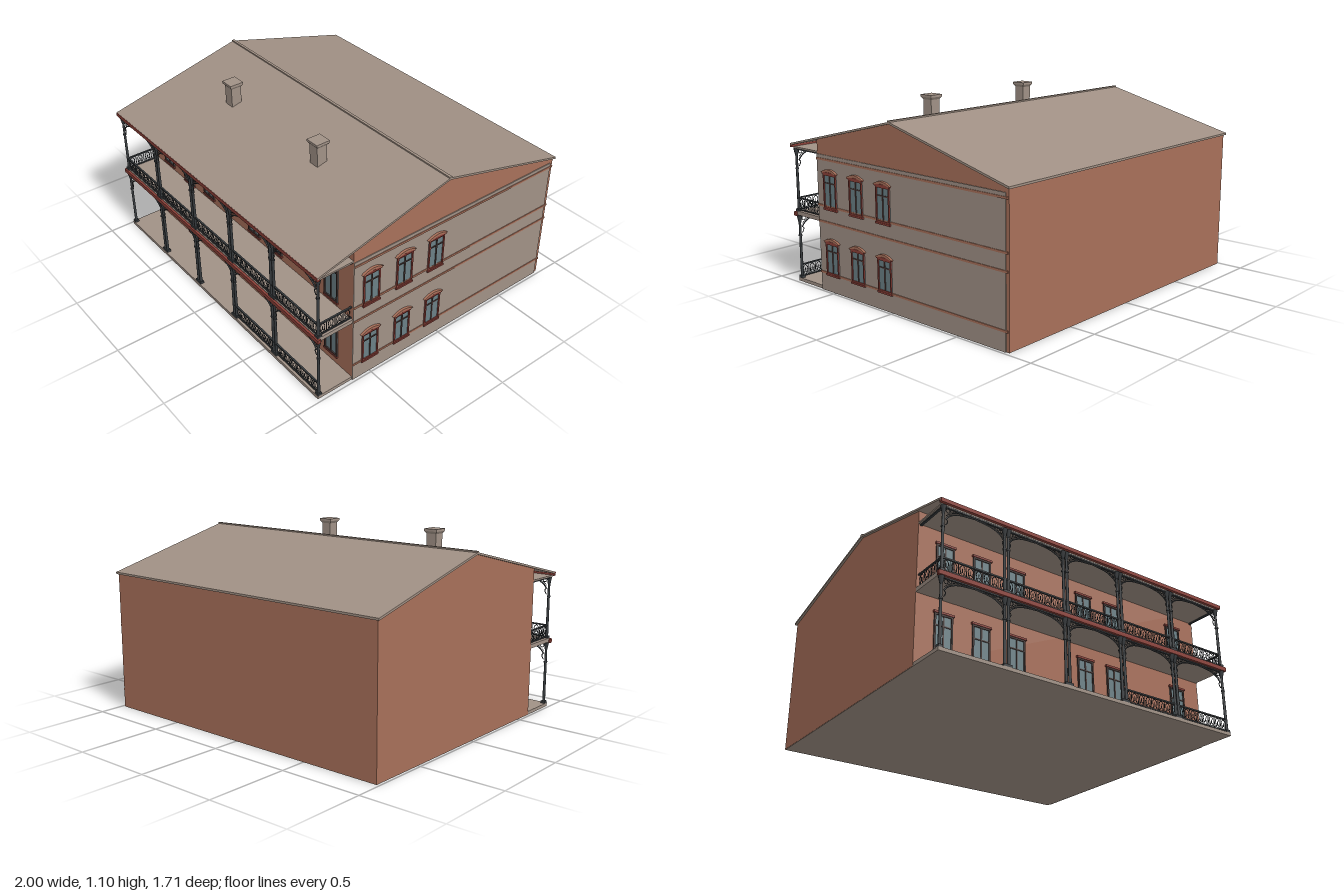
import * as THREE from 'three';
import { mergeGeometries } from 'three/addons/utils/BufferGeometryUtils.js';

const mat = (name, color) => new THREE.MeshStandardMaterial({ name, color });

export function createModel() {
  const house = new THREE.Group();
  house.name = 'house';
  const brick = mat('brick', 0xa8705a);
  const plaster = mat('plaster', 0xa09186);
  const roofGrey = mat('roofGrey', 0xa09084);
  const red = mat('redTrim', 0x8c4038);
  const iron = mat('castIron', 0x383c3f);
  const glass = mat('glass', 0x6b8086);
  const sash = mat('sash', 0x4a3a37);

  const add = (name, geo, material, parent = house) => {
    const m = new THREE.Mesh(geo, material);
    m.name = name;
    parent.add(m);
    return m;
  };
  // box from its min and max on each axis
  const box = (x0, x1, y0, y1, z0, z1) =>
    new THREE.BoxGeometry(x1 - x0, y1 - y0, z1 - z0)
      .translate((x0 + x1) / 2, (y0 + y1) / 2, (z0 + z1) / 2);
  // [z, y] outline swept along x
  const sweepX = (pts, x0, x1) => {
    const s = new THREE.Shape(pts.map(([z, y]) => new THREE.Vector2(-z, y)));
    return new THREE.ExtrudeGeometry(s, { depth: x1 - x0, bevelEnabled: false })
      .rotateY(Math.PI / 2).translate(x0, 0, 0);
  };

  // Main body, plinth and roof
  add('body', sweepX([[0.62, 0.003], [0.62, 0.885], [-0.01, 1.042], [-0.845, 0.828], [-0.845, 0.003]], -0.985, 0.98), brick);
  add('plinth', box(-0.984, 0.979, 0, 0.02, -0.844, 0.85), plaster);
  add('roof', sweepX([[0.855, 0.826], [0.855, 0.838], [-0.01, 1.054], [-0.855, 0.838], [-0.855, 0.826], [-0.01, 1.042]], -0.998, 0.992), roofGrey);
  add('ridgeCap', box(-0.998, 0.992, 1.046, 1.06, -0.018, -0.002), roofGrey);

  // Plastered right wall with brick string courses
  add('sideWall', box(0.98, 0.985, 0, 0.805, -0.825, 0.62), plaster);
  for (const y of [0.11, 0.415, 0.51, 0.78])
    add('stringCourse', box(0.98, 0.989, y - 0.006, y + 0.006, -0.84, 0.62), brick);

  // Chimneys with flared caps
  for (const x of [-0.47, 0.345]) {
    const c = new THREE.Group();
    c.name = 'chimney';
    c.position.set(x, 0, 0.345);
    house.add(c);
    add('shaft', box(-0.033, 0.033, 0.93, 1.085, -0.033, 0.033), plaster, c);
    const flare = new THREE.CylinderGeometry(0.062, 0.047, 0.016, 4).rotateY(Math.PI / 4).toNonIndexed();
    flare.computeVertexNormals();
    add('flare', flare.translate(0, 1.083, 0), plaster, c);
    add('cap', box(-0.044, 0.044, 1.09, 1.104, -0.044, 0.044), plaster, c);
  }

  // Veranda floors, ceiling and red fascias
  add('balconyFloor', box(-0.985, 0.98, 0.408, 0.432, 0.62, 0.842), plaster);
  add('ceiling', box(-0.985, 0.98, 0.808, 0.818, 0.62, 0.842), plaster);
  add('balconyFascia', box(-0.995, 0.99, 0.403, 0.428, 0.835, 0.855), red);
  add('eavesFascia', box(-0.998, 0.992, 0.815, 0.837, 0.84, 0.858), red);

  // Windows face local +z with the sill line at y = 0
  const windowUnit = (w, h, arched) => {
    const g = new THREE.Group();
    g.name = 'window';
    const a = w / 2, t = 0.009, f = arched ? red : sash;
    add('pane', box(-a, a, 0, h, 0, 0.003), glass, g);
    for (const s of [-1, 1])
      add('jamb', box(s * (a - t / 2) - t / 2, s * (a - t / 2) + t / 2, 0, h, 0, 0.009), f, g);
    add('headRail', box(-a, a, h - t, h, 0, 0.009), f, g);
    add('footRail', box(-a, a, 0, t, 0, 0.009), f, g);
    add('mullion', box(-0.004, 0.004, 0, h, 0, 0.007), sash, g);
    add('transom', box(-a, a, h * 0.72, h * 0.72 + 0.007, 0, 0.007), sash, g);
    add('lintel', box(-a - 0.006, a + 0.006, h, h + 0.012, 0, 0.013), red, g);
    add('sill', box(-a - 0.003, a + 0.003, -0.01, 0, 0, 0.012), red, g);
    if (arched) { // shallow brick hood
      const s = new THREE.Shape();
      s.moveTo(-a - 0.014, h + 0.008);
      s.quadraticCurveTo(0, h + 0.05, a + 0.014, h + 0.008);
      s.lineTo(a, h + 0.006);
      s.quadraticCurveTo(0, h + 0.022, -a, h + 0.006);
      add('hood', new THREE.ExtrudeGeometry(s, { depth: 0.014, bevelEnabled: false, curveSegments: 8 }), brick, g);
    }
    house.add(g);
    return g;
  };
  for (const x of [-0.82, -0.59, -0.365, 0.105, 0.315, 0.805]) {
    const door = x === -0.59;
    windowUnit(0.11, door ? 0.285 : 0.245, false).position.set(x, door ? 0.04 : 0.08, 0.62);
    windowUnit(0.11, door ? 0.285 : 0.26, false).position.set(x, door ? 0.44 : 0.465, 0.62);
  }
  for (const z of [0.505, 0.28, 0.055])
    for (const [y, h] of [[0.11, 0.185], [0.5, 0.2]]) {
      const g = windowUnit(0.11, h, true);
      g.position.set(0.985, y, z);
      g.rotation.y = Math.PI / 2;
    }

  // Iron tube through local x, y points
  const tube = (pts, r, n = 10) => new THREE.TubeGeometry(
    new THREE.CatmullRomCurve3(pts.map(([x, y]) => new THREE.Vector3(x, y, 0))), n, r, 4);
  const ring = (x, y, r, t = 0.0018) => new THREE.TorusGeometry(r, t, 4, 10).translate(x, y, 0);

  // Railing: rails with looped balusters, running along x
  const railing = (len) => {
    const parts = [
      box(0, len, 0.076, 0.084, -0.005, 0.005),
      box(0, len, 0.007, 0.013, -0.004, 0.004),
    ];
    const n = Math.round(len / 0.05), p = len / n;
    for (let i = 0; i < n; i++) {
      const c = (i + 0.5) * p;
      parts.push(
        tube([[c - 0.019, 0.01], [c - 0.012, 0.035], [c - 0.016, 0.055], [c, 0.073],
          [c + 0.016, 0.055], [c + 0.012, 0.035], [c + 0.019, 0.01]], 0.0025, 14),
        ring(c, 0.024, 0.009, 0.002),
        box(c - 0.0015, c + 0.0015, 0.033, 0.055, -0.0015, 0.0015),
        box(c - p / 2 - 0.0015, c - p / 2 + 0.0015, 0.01, 0.08, -0.0015, 0.0015));
    }
    return mergeGeometries(parts);
  };

  // Arched bracket filling one bay, hanging below y = 0
  const archBracket = (w) => {
    const parts = [box(-w / 2, w / 2, -0.008, 0, -0.006, 0.006)];
    for (const s of [-1, 1]) {
      const e = s * w / 2;
      parts.push(
        tube([[e, -0.075], [e - s * 0.02, -0.05], [e - s * 0.07, -0.024], [0, -0.01]], 0.0045, 14),
        tube([[e, -0.055], [e - s * 0.025, -0.035], [e - s * 0.07, -0.015], [0, -0.006]], 0.002, 14),
        ring(e - s * 0.013, -0.022, 0.012, 0.0025), ring(e - s * 0.037, -0.016, 0.008, 0.002),
        ring(e - s * 0.057, -0.012, 0.005), tube([[e, -0.11], [e - s * 0.012, -0.085], [e, -0.07]], 0.003));
    }
    return mergeGeometries(parts);
  };

  // Column with base, collar and flared capital
  const column = (h) => mergeGeometries([
    new THREE.CylinderGeometry(0.007, 0.009, h, 8).translate(0, h / 2, 0),
    box(-0.013, 0.013, 0, 0.015, -0.013, 0.013),
    new THREE.CylinderGeometry(0.011, 0.011, 0.008, 8).translate(0, h * 0.68, 0),
    new THREE.CylinderGeometry(0.017, 0.008, 0.045, 8).translate(0, h - 0.022, 0),
  ]);

  // Two storeys of ironwork, inner columns in pairs
  const axes = [-0.97, -0.582, -0.195, 0.19, 0.578, 0.967];
  const storeys = [[0.02, 0.404], [0.43, 0.808]];
  for (const [y0, y1] of storeys)
    axes.forEach((x, i) => {
      const offsets = i === 0 || i === 5 ? [0] : [-0.012, 0.012];
      for (const o of offsets)
        add('column', column(y1 - y0), iron).position.set(x + o, y0, 0.835);
      if (i === 5) return;
      const w = axes[i + 1] - x;
      add('archBracket', archBracket(w - 0.03), iron).position.set(x + w / 2, y1, 0.835);
      if (y0 > 0.4 || i > 2)
        add('railing', railing(w), iron).position.set(x, y0, 0.835);
    });
  for (const x of [axes[0], axes[5]]) {
    const r = add('sideRailing', railing(0.215), iron);
    r.position.set(x, 0.43, 0.835);
    r.rotation.y = Math.PI / 2;
    add('sideBeam', box(x - 0.006, x + 0.006, 0.8, 0.809, 0.62, 0.835), iron);
  }
  return house;
}
